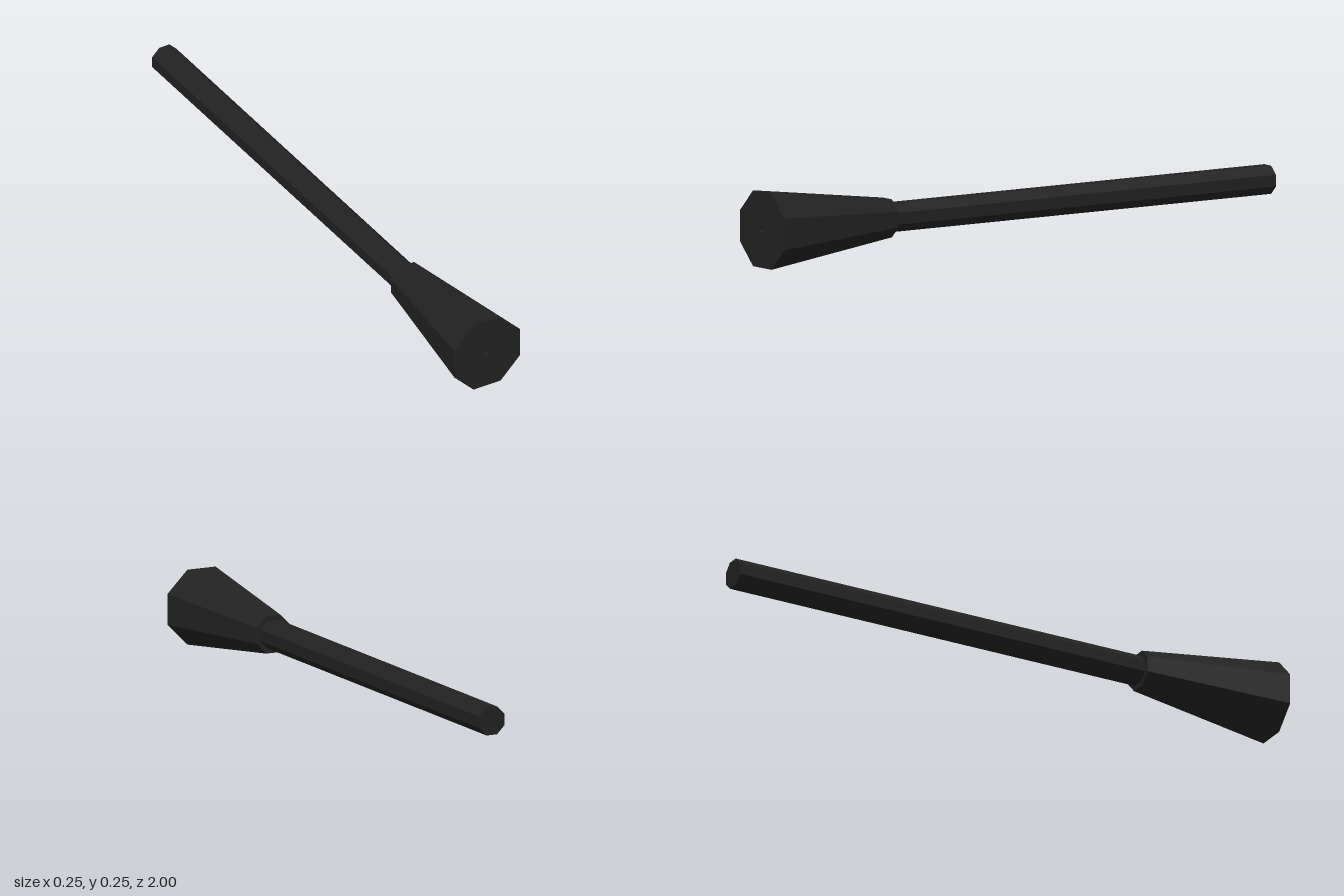
import * as THREE from 'three';

const AXIS_HEIGHT = 0.124;

export function createModel() {
  const group = new THREE.Group();
  group.name = 'flaredTube';

  const black = new THREE.MeshStandardMaterial({ color: 0x222222, flatShading: true });
  black.name = 'matte black';

  // Eight-sided solid turned about the z axis; profile pairs are [radius, z], back to front
  function octagonal(name, profile) {
    const points = profile.map(([r, z]) => new THREE.Vector2(r, z));
    const geometry = new THREE.LatheGeometry(points, 8, Math.PI / 8);
    geometry.rotateX(Math.PI / 2);
    const mesh = new THREE.Mesh(geometry, black);
    mesh.name = name;
    mesh.position.y = AXIS_HEIGHT;
    group.add(mesh);
  }

  // Long slim shaft with closed ends
  octagonal('shaft', [[0, -1], [0.05, -1], [0.05, 0.51], [0, 0.51]]);

  // Flared head with a small bore in its front face
  octagonal('flaredHead', [
    [0, 0.505], [0.067, 0.505], [0.134, 1],
    [0.011, 1], [0.011, 0.9], [0, 0.9],
  ]);

  return group;
}
